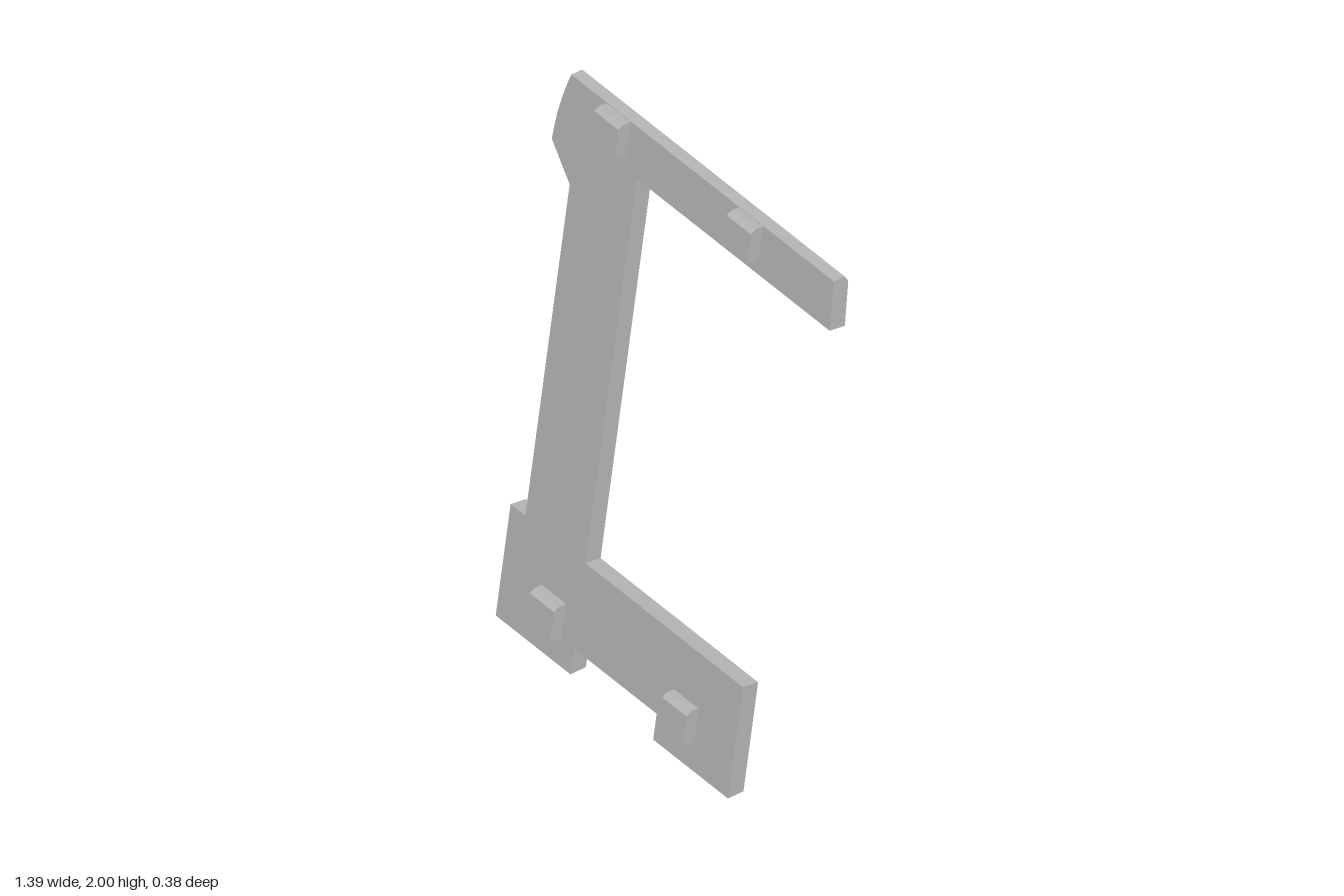
import * as THREE from 'three';

const THICK = 0.061;
// z of the leaning front face at height y
const faceZ = (y) => 0.154 - 0.143 * y;

// Leaning C-shaped plate: edges square to the plate, level foot, level top with a rear chamfer
function plateGeometry() {
  const s = new THREE.Shape();
  s.moveTo(-0.665, 0);
  [[-0.285, 0], [-0.285, 0.095], [0.135, 0.095], [0.135, 0], [0.515, 0], [0.515, 0.41],
    [-0.285, 0.41], [-0.285, 1.825], [0.695, 1.825], [0.683, 2], [-0.65, 2],
  ].forEach(([x, y]) => s.lineTo(x, y));
  s.quadraticCurveTo(-0.695, 1.87, -0.7, 1.735);
  [[-0.59, 1.63], [-0.59, 0.41], [-0.665, 0.41]].forEach(([x, y]) => s.lineTo(x, y));
  s.closePath();

  const g = new THREE.ExtrudeGeometry(s, { depth: 1, steps: 2, bevelEnabled: false, curveSegments: 8 });
  const p = g.attributes.position;
  for (let i = 0; i < p.count; i++) {
    const layer = p.getZ(i);
    const t = layer > 0.9 ? 0 : layer > 0.4 ? 0.7 : 1; // front, ridge, back
    let y = p.getY(i);
    if (y > 1.999) y = t === 1 ? 1.975 : 2;
    else if (y > 0.001) y -= 0.0086 * t;
    p.setXYZ(i, p.getX(i), y, faceZ(y) - THICK * t);
  }
  g.computeVertexNormals();
  return g;
}

// Small block with a chamfered upper front edge, standing proud of the plate
function pegGeometry(baseY, width) {
  const profile = [[0.099, -0.01], [0.105, 0.047], [0.213, 0.046], [0.225, 0.03], [0.222, -0.01]];
  const s = new THREE.Shape(profile.map(([y, out]) =>
    new THREE.Vector2(-(faceZ(y + baseY) + out), y + baseY)));
  const g = new THREE.ExtrudeGeometry(s, { depth: width, bevelEnabled: false });
  g.rotateY(Math.PI / 2);
  return g;
}

export function createModel() {
  const model = new THREE.Group();
  model.name = 'bracket';
  const grey = new THREE.MeshStandardMaterial({ color: 0xb4b4b4 });
  grey.name = 'grey';

  const plate = new THREE.Mesh(plateGeometry(), grey);
  plate.name = 'plate';
  model.add(plate);

  // Two pegs on the base and two on the upper arm
  for (const [row, baseY] of [['lower', 0], ['upper', 1.775]]) {
    for (const [side, x] of [['Right', -0.471], ['Left', 0.201]]) {
      const peg = new THREE.Mesh(pegGeometry(baseY, 0.123), grey);
      peg.name = row + side + 'Peg';
      peg.position.x = x;
      model.add(peg);
    }
  }
  return model;
}
